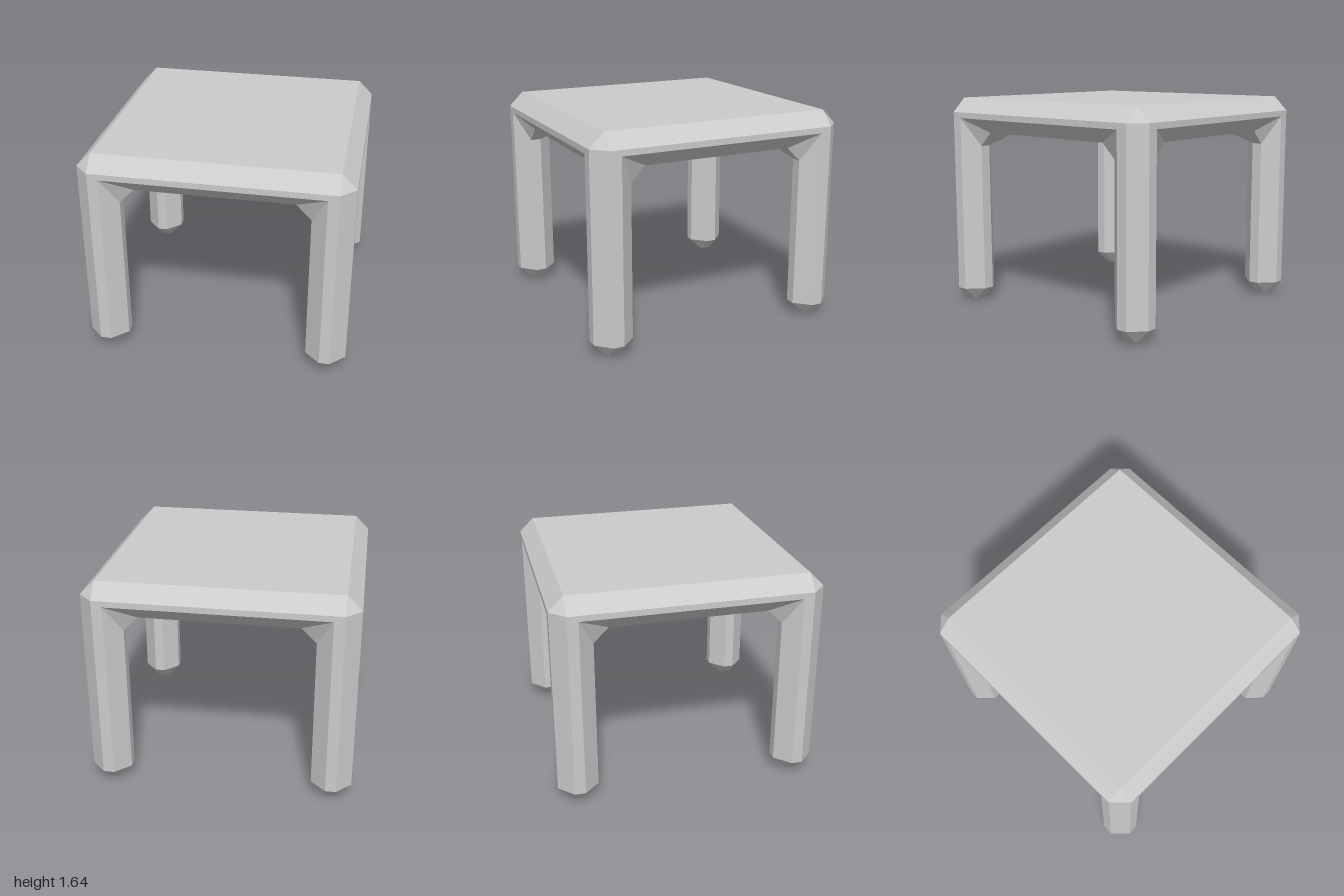
import * as THREE from 'three';

// Plan distances from the centre: outer face, bevel edges, leg inside, bracket end
const OUT = 1, A = 0.89, B = 0.81, IN = 0.695, F = 0.585;
// Heights: tip, bracket start, underside, rim bottom, rim top, table top
const TIP = 0.11, Y_BRACKET = 1.27, Y_UNDER = 1.38, Y_RIM = 1.49, Y_EDGE = 1.535, Y_TOP = 1.645;

const material = new THREE.MeshStandardMaterial({ color: 0xcccccc, flatShading: true });

// Flat-sided mesh from convex polygons, dropping collapsed triangles
function polygonMesh(name, polygons) {
  const positions = [];
  const triangle = new THREE.Triangle();
  for (const polygon of polygons) {
    for (let i = 1; i < polygon.length - 1; i++) {
      const corners = [polygon[0], polygon[i], polygon[i + 1]];
      triangle.set(...corners.map((p) => new THREE.Vector3(...p)));
      if (triangle.getArea() > 1e-6) positions.push(...corners.flat());
    }
  }
  const geometry = new THREE.BufferGeometry();
  geometry.setAttribute('position', new THREE.Float32BufferAttribute(positions, 3));
  geometry.computeVertexNormals();
  const mesh = new THREE.Mesh(geometry, material);
  mesh.name = name;
  return mesh;
}

// Octagonal leg with a bevelled foot and a flared bracket under the top
function createLeg(name) {
  const plan = [[OUT, B], [OUT, A], [A, OUT], [B, OUT], [IN, A], [IN, B], [B, IN], [A, IN]];
  const tops = [Y_RIM, Y_EDGE, Y_EDGE, Y_RIM, Y_BRACKET, Y_BRACKET, Y_BRACKET, Y_BRACKET];
  const clamp = (v) => THREE.MathUtils.clamp(v, B, A);

  const foot = plan.map(([x, z]) => [clamp(x), 0, clamp(z)]);
  const ankle = plan.map(([x, z]) => [x, TIP, z]);
  const neck = plan.map(([x, z], k) => [x, tops[k], z]);
  const bracket = [...neck.slice(0, 4),
    [F, Y_UNDER, A], [F, Y_UNDER, F], [F, Y_UNDER, F], [A, Y_UNDER, F]];

  const rows = [foot, ankle, neck, bracket];
  const polygons = [foot];
  for (let r = 0; r < rows.length - 1; r++) {
    for (let k = 0; k < 8; k++) {
      const n = (k + 1) % 8;
      polygons.push([rows[r][k], rows[r + 1][k], rows[r + 1][n], rows[r][n]]);
    }
  }
  return polygonMesh(name, polygons);
}

// Bevelled slab: one side described, then turned four times
function createTabletop() {
  const side = [
    // rim
    [[-B, Y_RIM, OUT], [B, Y_RIM, OUT], [A, Y_EDGE, OUT], [-A, Y_EDGE, OUT]],
    // upper bevel and its corner
    [[-A, Y_EDGE, OUT], [A, Y_EDGE, OUT], [A, Y_TOP, A], [-A, Y_TOP, A]],
    [[A, Y_EDGE, OUT], [OUT, Y_EDGE, A], [A, Y_TOP, A]],
    // lower bevel
    [[-F, Y_UNDER, A], [F, Y_UNDER, A], [B, Y_RIM, OUT], [-B, Y_RIM, OUT]],
    // quarter of the top face
    [[0, Y_TOP, 0], [-A, Y_TOP, A], [A, Y_TOP, A]],
    // quarter of the underside, notched around the brackets
    [[0, Y_UNDER, 0], [F, Y_UNDER, F], [F, Y_UNDER, A], [-F, Y_UNDER, A], [-F, Y_UNDER, F]],
  ];
  const polygons = [];
  let turned = side;
  for (let i = 0; i < 4; i++) {
    polygons.push(...turned);
    turned = turned.map((polygon) => polygon.map(([x, y, z]) => [z, y, -x]));
  }
  return polygonMesh('tabletop', polygons);
}

export function createModel() {
  const group = new THREE.Group();
  group.name = 'table';
  group.add(createTabletop());
  ['frontLeftLeg', 'backLeftLeg', 'backRightLeg', 'frontRightLeg'].forEach((name, i) => {
    const leg = createLeg(name);
    leg.rotation.y = i * Math.PI / 2;
    group.add(leg);
  });
  return group;
}
